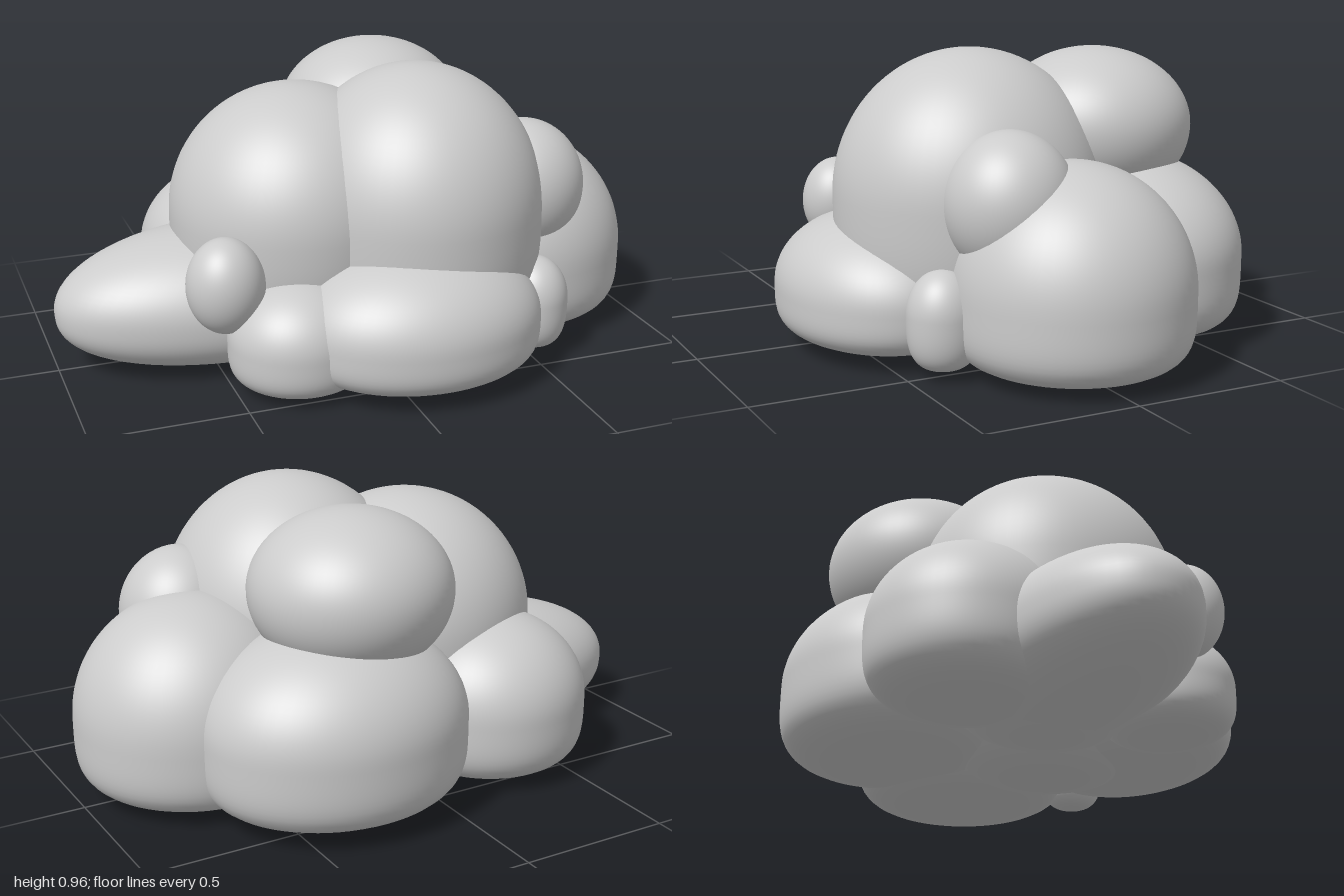
import * as THREE from 'three';
import { mergeVertices } from 'three/addons/utils/BufferGeometryUtils.js';

const material = new THREE.MeshStandardMaterial({ color: 0xcccccc });

// Ellipsoid whose lower half is squared off towards a flat floor.
// p is the squareness of the lower half (2 = plain ellipsoid).
function puffGeometry([rx, ry, rz], depth, p) {
  let geo = new THREE.SphereGeometry(1, 64, 48);
  geo.deleteAttribute('uv');
  geo.deleteAttribute('normal');
  geo = mergeVertices(geo, 1e-5);
  const pos = geo.attributes.position;
  for (let i = 0; i < pos.count; i++) {
    const x = pos.getX(i), y = pos.getY(i), z = pos.getZ(i);
    if (y >= 0) {
      pos.setXYZ(i, x * rx, y * ry, z * rz);
    } else {
      const k = 1 / Math.pow(Math.pow(Math.hypot(x, z), p) + Math.pow(-y, p), 1 / p);
      pos.setXYZ(i, x * k * rx, y * k * depth, z * k * rz);
    }
  }
  geo.computeVertexNormals();
  return geo;
}

// name, centre, radii, floor height, squareness of the lower half
const puffs = [
  ['mainPuff', [0.19, 0.5, 0.14], [0.42, 0.46, 0.44], 0, 3],
  ['sidePuff', [-0.18, 0.47, -0.01], [0.42, 0.42, 0.425], 0, 2.6],
  ['upperBackPuff', [0.205, 0.69, -0.31], [0.325, 0.255, 0.325], 0.42, 2],
  ['lowerBackPuff', [0.3, 0.29, -0.37], [0.44, 0.32, 0.375], 0.03, 4.5],
  ['leftPuff', [0.61, 0.26, 0], [0.39, 0.39, 0.38], 0.015, 4.5],
  ['rightTailPuff', [-0.4, 0.2, -0.01], [0.6, 0.245, 0.315], 0.005, 2.7],
  ['rightBackPuff', [-0.31, 0.25, -0.33], [0.325, 0.28, 0.32], 0.015, 4],
  ['frontPuff', [0.09, 0.2, 0.42], [0.41, 0.245, 0.32], 0.03, 4],
  ['rightFrontPuff', [-0.29, 0.17, 0.36], [0.23, 0.19, 0.22], 0.015, 4],
  ['leftShoulderPuff', [0.56, 0.53, 0.19], [0.205, 0.22, 0.205], 0.3, 2],
  ['smallRightBall', [-0.515, 0.355, 0.315], [0.125, 0.155, 0.125], 0.2, 2],
  ['smallLeftBall', [0.52, 0.2, 0.39], [0.11, 0.14, 0.115], 0.03, 3],
];

export function createModel() {
  const cloud = new THREE.Group();
  cloud.name = 'cloud';
  for (const [name, center, radii, floor, p] of puffs) {
    const mesh = new THREE.Mesh(puffGeometry(radii, center[1] - floor, p), material);
    mesh.name = name;
    mesh.position.set(...center);
    cloud.add(mesh);
  }
  return cloud;
}
